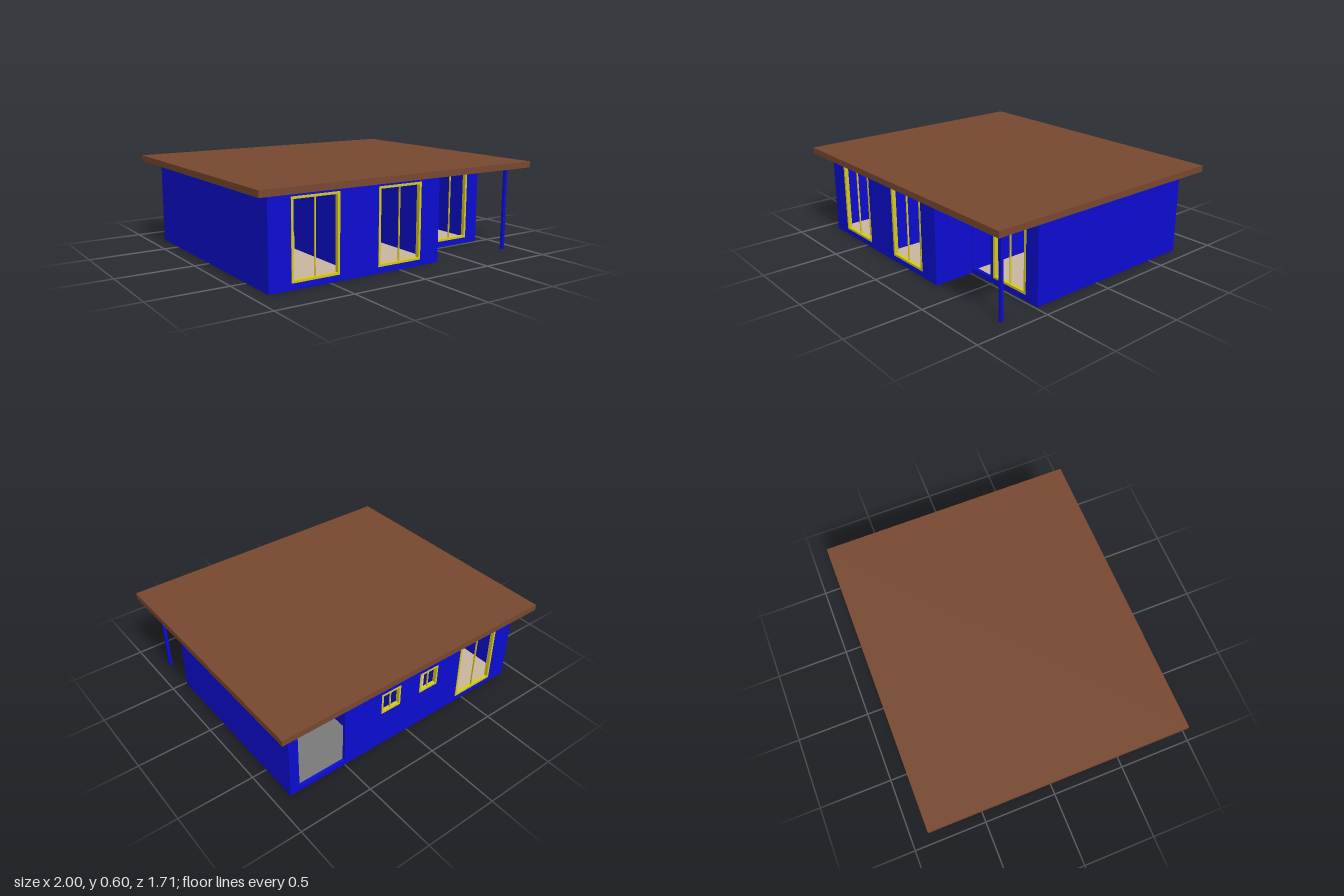
import * as THREE from 'three';

const mat = (name, color, extra = {}) => {
  const m = new THREE.MeshStandardMaterial({ color, ...extra });
  m.name = name;
  return m;
};

const H = 0.556; // wall height
const T = 0.02; // wall thickness

export function createModel() {
  const house = new THREE.Group();
  house.name = 'house';
  const blue = mat('wallBlue', 0x0c0cd2);
  const brown = mat('roofBrown', 0x78482f);
  const yellow = mat('frameYellow', 0xd6ca22);
  const beige = mat('floorBeige', 0xcab7a0);
  const grey = mat('floorGrey', 0x7b7b7b);

  // Box given by its min and max corners
  const box = (name, material, x0, x1, y0, y1, z0, z1, parent = house) => {
    const mesh = new THREE.Mesh(new THREE.BoxGeometry(x1 - x0, y1 - y0, z1 - z0), material);
    mesh.position.set((x0 + x1) / 2, (y0 + y1) / 2, (z0 + z1) / 2);
    mesh.name = name;
    parent.add(mesh);
    return mesh;
  };

  // Wall along x with rectangular openings [x0, x1, y0, y1]
  const openWall = (name, x0, x1, z0, openings) => {
    const rect = (path, a, b, c, d) =>
      path.moveTo(a, c).lineTo(b, c).lineTo(b, d).lineTo(a, d).lineTo(a, c);
    const shape = rect(new THREE.Shape(), x0, x1, 0, H);
    for (const o of openings) shape.holes.push(rect(new THREE.Path(), ...o));
    const geo = new THREE.ExtrudeGeometry(shape, { depth: T, bevelEnabled: false });
    const mesh = new THREE.Mesh(geo, blue);
    mesh.position.z = z0;
    mesh.name = name;
    house.add(mesh);
  };

  // Window frame with a thin centre bar, filling an opening
  const windowFrame = (name, [x0, x1, y0, y1], z0, w = 0.015) => {
    const g = new THREE.Group();
    g.name = name;
    house.add(g);
    const za = z0 - 0.003, zb = z0 + T + 0.003, xm = (x0 + x1) / 2;
    box('leftRail', yellow, x0, x0 + w, y0, y1, za, zb, g);
    box('rightRail', yellow, x1 - w, x1, y0, y1, za, zb, g);
    box('sill', yellow, x0 + w, x1 - w, y0, y0 + w, za, zb, g);
    box('head', yellow, x0 + w, x1 - w, y1 - w, y1, za, zb, g);
    box('centreBar', yellow, xm - 0.003, xm + 0.003, y0 + w, y1 - w, z0 + 0.005, z0 + 0.015, g);
  };

  // Roof slab
  box('roof', brown, -1, 1, H, 0.596, -0.855, 0.855);

  // Front walls and their windows
  const front = [[-0.755, -0.435, 0.04, 0.525], [-0.16, 0.16, 0.04, 0.525]];
  openWall('frontWall', -0.9, 0.305, 0.74, front);
  front.forEach((o) => windowFrame('frontWindow', o, 0.74));
  const porchWindow = [0.51, 0.8, 0.04, 0.525];
  openWall('porchWall', 0.305, 0.9, 0.465, [[0.31, 0.485, 0.035, 0.525], porchWindow]);
  windowFrame('porchWindow', porchWindow, 0.465);

  // Back wall with wide opening, two small windows and a tall one
  const back = [[0.07, 0.22, 0.26, 0.41], [-0.24, -0.09, 0.26, 0.41], [-0.755, -0.435, 0.04, 0.525]];
  openWall('backWall', -0.9, 0.9, -0.755, [[0.5, 0.835, 0.035, 0.525], ...back]);
  back.forEach((o) => windowFrame('backWindow', o, -0.755, o[3] < 0.5 ? 0.013 : 0.015));

  // Side walls and porch post
  box('rightSideWall', blue, -0.9, -0.9 + T, 0, H, -0.754, 0.759);
  box('leftSideWall', blue, 0.9 - T, 0.9, 0, H, -0.754, 0.484);
  box('porchSideWall', blue, 0.285, 0.305, 0, H, 0, 0.759);
  box('porchPost', blue, 0.88, 0.9, 0, H, 0.737, 0.757);

  // Partitions: [x0, x1, z0, z1]
  const partitions = [
    [0.295, 0.313, -0.74, -0.285],
    [0.3, 0.465, -0.303, -0.285],
    [0.19, 0.3, -0.525, -0.507],
    [0.011, 0.029, -0.74, -0.285],
    [-0.285, 0.011, -0.303, -0.285],
    [-0.294, -0.276, -0.74, -0.61],
    [-0.294, -0.276, -0.465, -0.245],
    [-0.113, 0.286, -0.003, 0.015],
    [-0.121, -0.103, 0, 0.155],
    [-0.297, -0.279, 0.025, 0.745],
    [-0.488, -0.47, -0.24, 0.15],
    [-0.885, -0.48, -0.003, 0.015],
  ];
  for (const [x0, x1, z0, z1] of partitions) box('partition', blue, x0, x1, 0, H - 0.001, z0, z1);

  // Floors
  const floors = [
    [beige, -0.885, -0.285, -0.74, 0.745],
    [beige, -0.285, 0.295, -0.294, 0.745],
    [beige, 0.295, 0.885, -0.294, 0.47],
    [grey, -0.285, 0.885, -0.74, -0.294],
  ];
  for (const [m, x0, x1, z0, z1] of floors) box('floor', m, x0, x1, 0.003, 0.015, z0, z1);

  return house;
}
